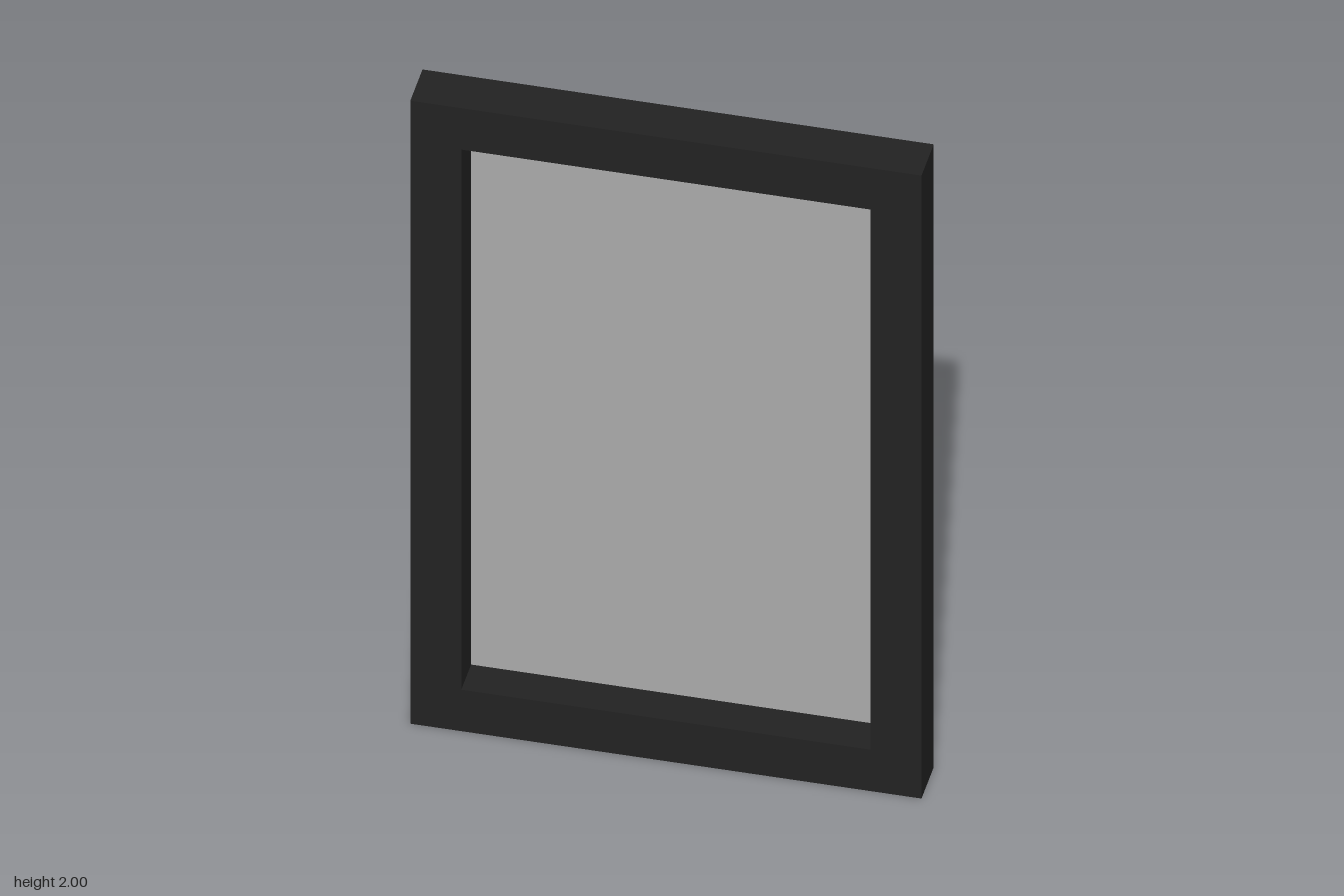
import * as THREE from 'three';

const W = 1.333, H = 2, D = 0.133, BORDER = 0.133, RECESS = 0.107;
const FRONT = D / 2;

const frameMat = new THREE.MeshStandardMaterial({ color: 0x222222, side: THREE.DoubleSide });
const paneMat = new THREE.MeshStandardMaterial({ color: 0xaaaaaa, side: THREE.DoubleSide });

function rectangle(path, w, h) {
  path.moveTo(-w / 2, -h / 2);
  path.lineTo(w / 2, -h / 2);
  path.lineTo(w / 2, h / 2);
  path.lineTo(-w / 2, h / 2);
  path.closePath();
  return path;
}

// Four thin walls running back from the front face; facing = 1 outward, -1 inward
function wallRing(name, w, h, depth, facing) {
  const ring = new THREE.Group();
  ring.name = name;
  const z = FRONT - depth / 2;
  const add = (geometry, wallName, x, y) => {
    const wall = new THREE.Mesh(geometry, frameMat);
    wall.name = wallName;
    wall.position.set(x, y, z);
    ring.add(wall);
  };
  for (const s of [1, -1]) {
    const side = new THREE.PlaneGeometry(depth, h).rotateY(s * facing * Math.PI / 2);
    add(side, s > 0 ? 'leftWall' : 'rightWall', s * w / 2, 0);
    const cap = new THREE.PlaneGeometry(w, depth).rotateX(-s * facing * Math.PI / 2);
    add(cap, s > 0 ? 'topWall' : 'bottomWall', 0, s * h / 2);
  }
  return ring;
}

export function createModel() {
  const model = new THREE.Group();
  model.name = 'framedWindow';
  const body = new THREE.Group();
  body.name = 'frame';
  body.position.y = H / 2;
  model.add(body);

  const innerW = W - 2 * BORDER, innerH = H - 2 * BORDER;

  // Front border with its rectangular opening
  const shape = rectangle(new THREE.Shape(), W, H);
  shape.holes.push(rectangle(new THREE.Path(), innerW, innerH));
  const border = new THREE.Mesh(new THREE.ShapeGeometry(shape), frameMat);
  border.name = 'frontBorder';
  border.position.z = FRONT;
  body.add(border);

  // Hollow shell, open at the back: outer rim and walls of the recess
  body.add(wallRing('outerRim', W, H, D, 1));
  body.add(wallRing('recess', innerW, innerH, RECESS, -1));

  // Pane closing the recess
  const pane = new THREE.Mesh(new THREE.PlaneGeometry(innerW, innerH), paneMat);
  pane.name = 'pane';
  pane.position.z = FRONT - RECESS;
  body.add(pane);

  return model;
}
